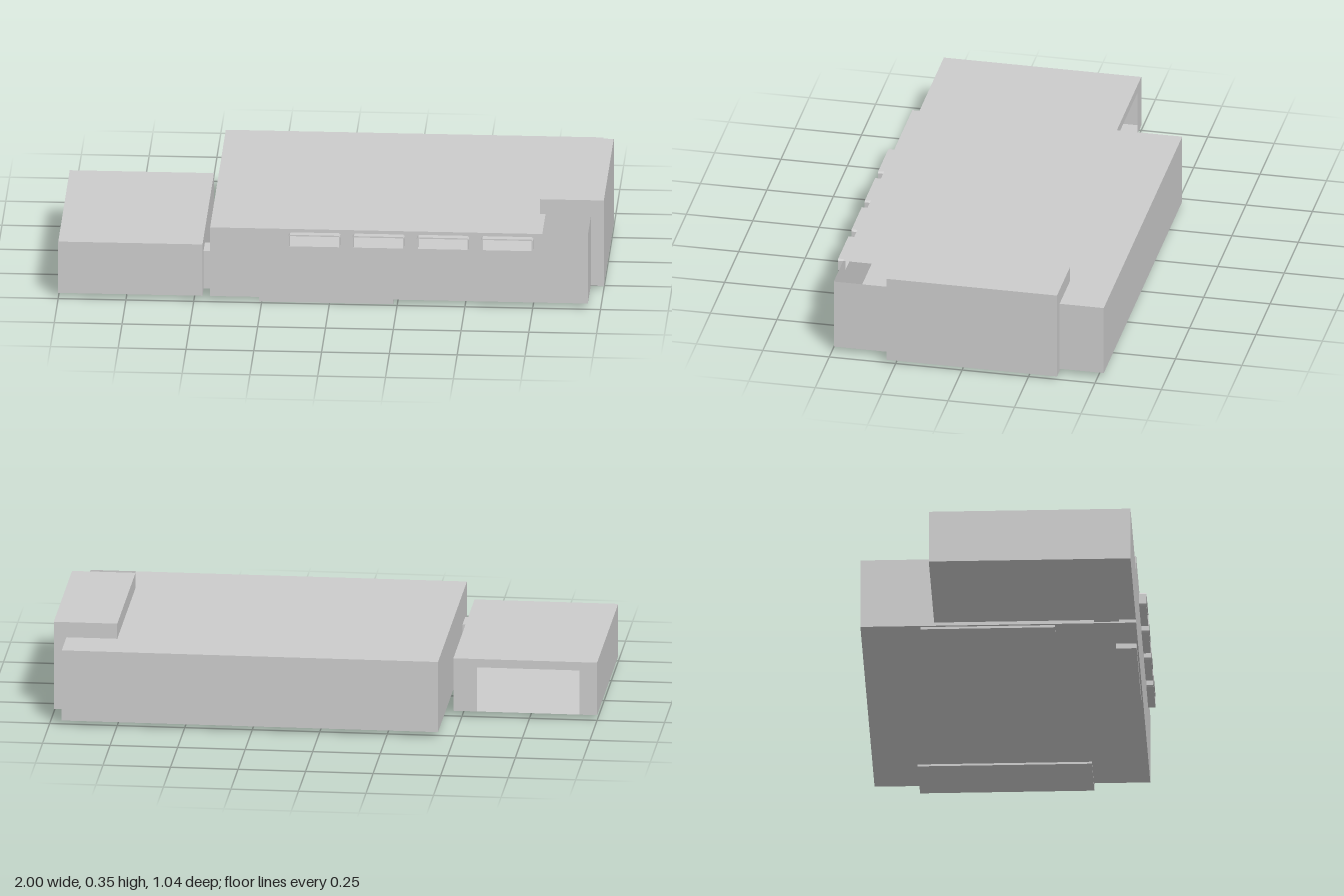
import * as THREE from 'three';

const grey = new THREE.MeshStandardMaterial({ color: 0xcccccc, side: THREE.DoubleSide, flatShading: true });

function add(parent, name, geometry) {
  const mesh = new THREE.Mesh(geometry, grey);
  mesh.name = name;
  parent.add(mesh);
  return mesh;
}

// Closed block given by its limits on each axis
function block(parent, name, [x0, x1], [y0, y1], [z0, z1]) {
  const geometry = new THREE.BoxGeometry(x1 - x0, y1 - y0, z1 - z0);
  geometry.translate((x0 + x1) / 2, (y0 + y1) / 2, (z0 + z1) / 2);
  return add(parent, name, geometry);
}

const rect = (a0, a1, b0, b1) => [[a0, b0], [a1, b0], [a1, b1], [a0, b1]];
const toPoints = (list) => list.map(([a, b]) => new THREE.Vector2(a, b));

// Thin flat panel at a constant x, y or z; outline in the other two axes
function panel(parent, name, axis, at, outline, holes = []) {
  const shape = new THREE.Shape(toPoints(outline));
  for (const hole of holes) shape.holes.push(new THREE.Path(toPoints(hole)));
  const geometry = new THREE.ShapeGeometry(shape);
  if (axis === 'x') geometry.rotateY(-Math.PI / 2).translate(at, 0, 0); // outline in (z, y)
  if (axis === 'y') geometry.rotateX(Math.PI / 2).translate(0, at, 0); // outline in (x, z)
  if (axis === 'z') geometry.translate(0, 0, at); // outline in (x, y)
  return add(parent, name, geometry);
}

// Rectangle with slightly clipped corners
function clipped(x0, x1, y0, y1, c) {
  return [[x0 + c, y0], [x1 - c, y0], [x1, y0 + c], [x1, y1 - c],
    [x1 - c, y1], [x0 + c, y1], [x0, y1 - c], [x0, y0 + c]];
}

export function createModel() {
  const model = new THREE.Group();
  model.name = 'building';

  // Main hall: hollow shell with windows in front and an open roof corner
  const hall = new THREE.Group();
  hall.name = 'mainHall';
  model.add(hall);
  const [x0, x1, y0, y1, z0, z1] = [-0.44, 0.953, 0.02, 0.29, -0.523, 0.493];
  const windows = [-0.15, 0.086, 0.323, 0.56].map((x) => [x, x + 0.192, 0.227, 0.277]);
  const inset = 0.005;
  const openings = windows.map(([a, b, c, d]) => rect(a + inset, b - inset, c + inset, d - inset));
  panel(hall, 'frontWall', 'z', z1, rect(x0, x1, y0, y1), openings);
  panel(hall, 'backWall', 'z', z0, rect(x0, x1, y0, y1));
  panel(hall, 'rightWall', 'x', x0, rect(z0, z1, y0, y1));
  panel(hall, 'leftWall', 'x', x1, rect(z0, z1, y0, y1));
  panel(hall, 'floor', 'y', y0, rect(x0, x1, z0, z1));
  panel(hall, 'roof', 'y', y1, [[x0, z0], [x1, z0], [x1, 0.284], [0.785, 0.284], [0.785, z1], [x0, z1]]);

  // Projecting window frames
  windows.forEach(([a, b, c, d], i) => {
    const frame = new THREE.Shape(toPoints(clipped(a, b, c, d, 0.006)));
    frame.holes.push(new THREE.Path(toPoints(openings[i])));
    const geometry = new THREE.ExtrudeGeometry(frame, { depth: 0.027, bevelEnabled: false });
    add(hall, 'windowFrame', geometry.translate(0, 0, z1));
  });

  // Garage: hollow shell with a doorway in the back wall
  const garage = new THREE.Group();
  garage.name = 'garage';
  model.add(garage);
  const [gx0, gx1, gy1, gz0, gz1] = [-1, -0.468, 0.222, -0.25, 0.493];
  panel(garage, 'garageFrontWall', 'z', gz1, rect(gx0, gx1, y0, gy1));
  panel(garage, 'garageBackWall', 'z', gz0, [[gx0, y0], [-0.935, y0], [-0.935, 0.19],
    [-0.555, 0.19], [-0.555, y0], [gx1, y0], [gx1, gy1], [gx0, gy1]]);
  for (const x of [gx0, gx1]) panel(garage, 'garageSideWall', 'x', x, rect(gz0, gz1, y0, gy1));
  panel(garage, 'garageFloor', 'y', y0, rect(gx0, gx1, gz0, gz1));
  panel(garage, 'garageRoof', 'y', gy1, rect(gx0, gx1, gz0, gz1));

  // Passage, chimney block and the low slabs below the floor
  block(model, 'passage', [gx1, x0], [0.025, 0.172], [0.338, 0.43]);
  block(model, 'sideTower', [0.765, 1], [0.012, 0.348], [-0.357, 0.285]);
  block(model, 'frontStep', [-0.26, 0.235], [0, 0.02], [0.412, 0.488]);
  block(model, 'sideStep', [-0.43, -0.352], [0.011, 0.02], [-0.302, 0.193]);

  return model;
}
